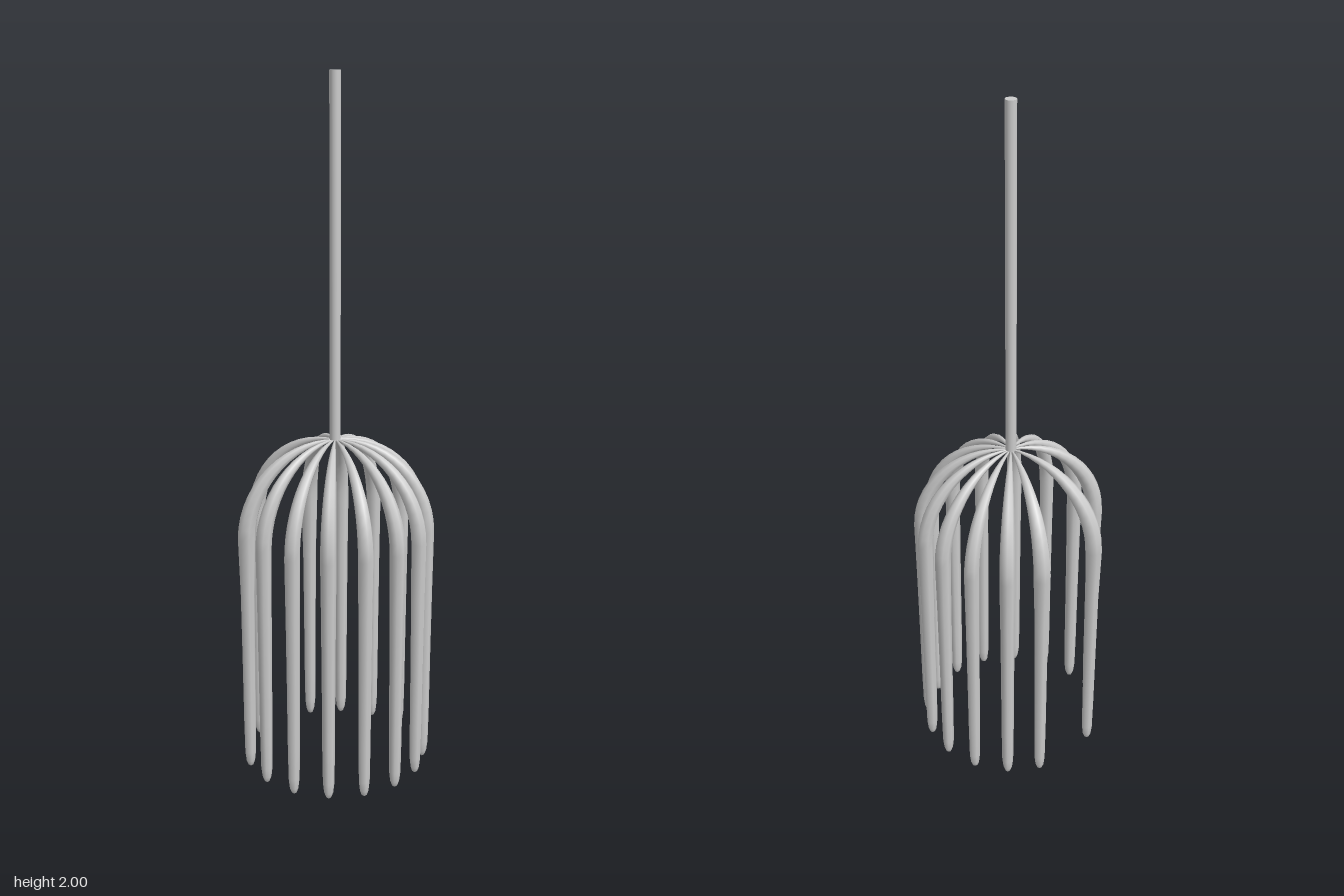
import * as THREE from 'three';
import { mergeVertices } from 'three/addons/utils/BufferGeometryUtils.js';

const REACH = 0.262; // distance of the hanging strands from the axis
const BEND_Y = 0.72; // height where the arch turns into the straight drop
const CROWN_Y = 0.99; // height where the strands meet
const SIDES = 8;

// Stations along one strand: arch first, then the straight drop with a rounded tip.
function strandStations(bendRadius) {
  const stations = [];
  const steps = 14;
  for (let i = 0; i <= steps; i++) {
    const a = (i / steps) * Math.PI / 2;
    const s = Math.sin(a);
    stations.push({
      x: REACH * s,
      y: BEND_Y + (CROWN_Y - BEND_Y) * Math.cos(a),
      a,
      r: 0.001 + (bendRadius - 0.001) * s,
    });
  }
  const drop = [[0.55, 0.0205], [0.35, 0.019], [0.15, 0.018], [0.05, 0.0165],
    [0.02, 0.013], [0.006, 0.008], [0, 0.0005]];
  for (const [y, r] of drop) stations.push({ x: REACH, y, a: Math.PI / 2, r });
  return stations;
}

// Bend a cylinder along the stations, giving each ring its own radius.
function strandGeometry(bendRadius) {
  const stations = strandStations(bendRadius);
  const rows = stations.length - 1;
  const geo = new THREE.CylinderGeometry(1, 1, 1, SIDES, rows, true);
  const pos = geo.attributes.position;
  for (let i = 0; i < pos.count; i++) {
    const { x, y, a, r } = stations[Math.round((0.5 - pos.getY(i)) * rows)];
    const out = pos.getX(i) * r;
    pos.setXYZ(i, x + Math.sin(a) * out, y + Math.cos(a) * out, pos.getZ(i) * r);
  }
  geo.deleteAttribute('uv');
  geo.deleteAttribute('normal');
  const smooth = mergeVertices(geo, 1e-5);
  smooth.computeVertexNormals();
  return smooth;
}

export function createModel() {
  const model = new THREE.Group();
  model.name = 'headMassager';
  const material = new THREE.MeshStandardMaterial({ color: 0xcccccc });

  // Straight handle rising from the crown
  const handle = new THREE.Mesh(new THREE.CylinderGeometry(0.0155, 0.0155, 1.01, 16), material);
  handle.name = 'handle';
  handle.position.y = 1.495;
  model.add(handle);

  // Ring of sixteen places, two left empty; strands beside the gaps are thicker
  const strands = new THREE.Group();
  strands.name = 'strands';
  const slim = strandGeometry(0.0225);
  const thick = strandGeometry(0.0255);
  const gaps = [7, 9];
  for (let i = 0; i < 16; i++) {
    if (gaps.includes(i)) continue;
    const wide = gaps.includes(i - 1) || gaps.includes(i + 1);
    const strand = new THREE.Mesh(wide ? thick : slim, material);
    strand.name = 'strand';
    strand.rotation.y = -THREE.MathUtils.degToRad(5 + 22.5 * i + (wide ? 1 : 0));
    strands.add(strand);
  }
  model.add(strands);
  return model;
}
